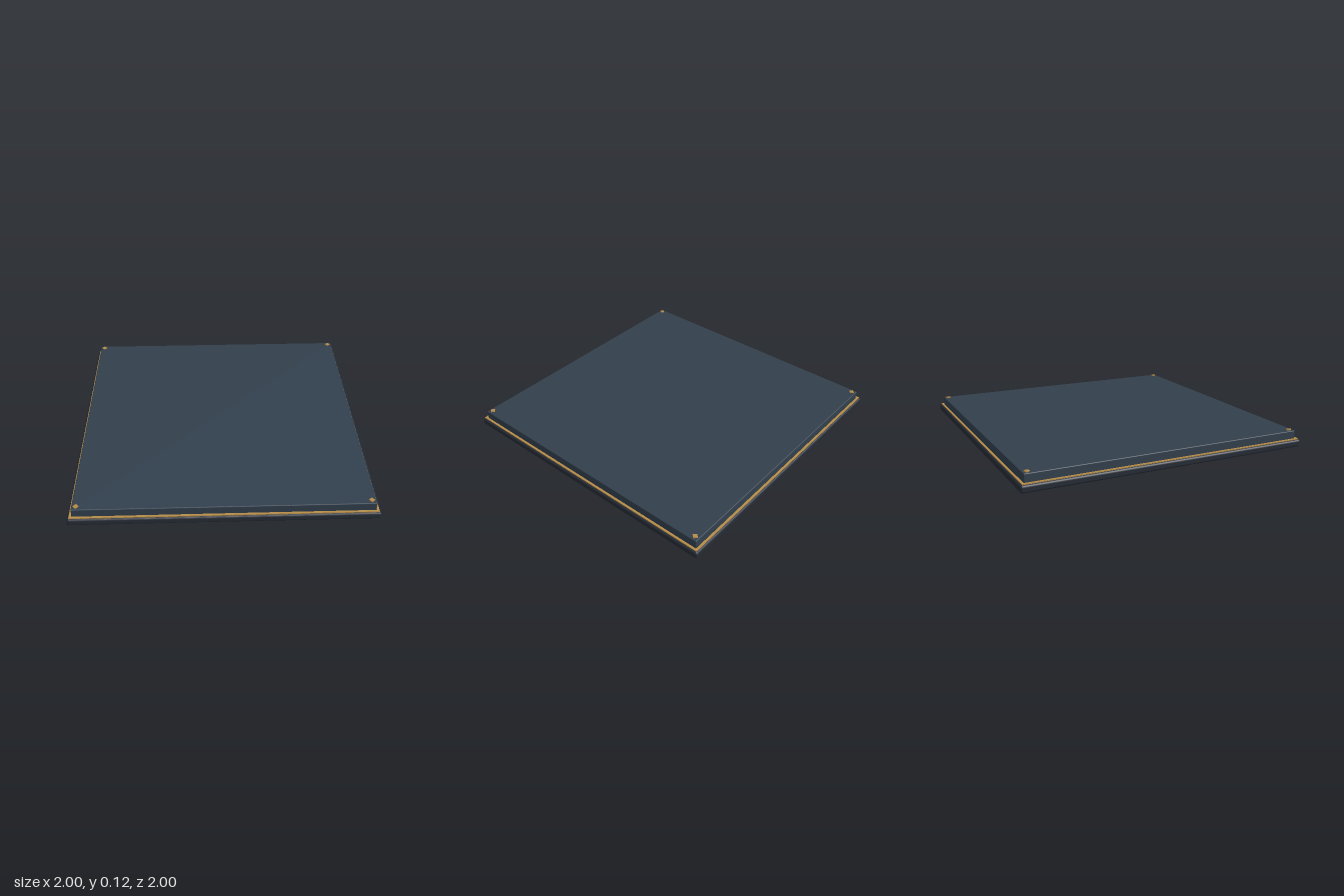
import * as THREE from 'three';
import { RoundedBoxGeometry } from 'three/addons/geometries/RoundedBoxGeometry.js';

const mat = (color) => new THREE.MeshStandardMaterial({ color });

export function createModel() {
  const model = new THREE.Group();
  const dark = mat(0x262c36), slate = mat(0x32404d), gold = mat(0xb58c48);

  const add = (name, geometry, material, x, y, z, parent = model) => {
    const mesh = new THREE.Mesh(geometry, material);
    mesh.name = name;
    mesh.position.set(x, y, z);
    parent.add(mesh);
    return mesh;
  };

  // Square slab with softened edges, from y0 to y1
  const slab = (name, size, y0, y1, radius, material) =>
    add(name, new RoundedBoxGeometry(size, y1 - y0, size, 3, radius), material, 0, (y0 + y1) / 2, 0);

  // Four mitre-free strips around a square; half is the strip centre line
  const frame = (name, half, width, y0, y1, material) => {
    const group = new THREE.Group();
    group.name = name;
    const h = y1 - y0, y = (y0 + y1) / 2;
    for (const s of [-1, 1]) {
      add('strip', new THREE.BoxGeometry(2 * half + width, h, width), material, 0, y, s * half, group);
      add('strip', new THREE.BoxGeometry(width, h, 2 * half - width), material, s * half, y, 0, group);
    }
    model.add(group);
  };

  // Tile body: wide base, raised panel
  slab('base', 2, 0, 0.05, 0.015, dark);
  slab('panel', 1.94, 0.048, 0.11, 0.006, slate);

  // Gold trim on the base ledge
  frame('ledgeTrim', 0.98, 0.015, 0.046, 0.056, gold);

  // Diamond studs at the panel corners
  for (const x of [-0.94, 0.94])
    for (const z of [-0.94, 0.94])
      add('cornerStud', new THREE.CylinderGeometry(0.02, 0.02, 0.012, 4), gold, x, 0.11, z);

  return model;
}
